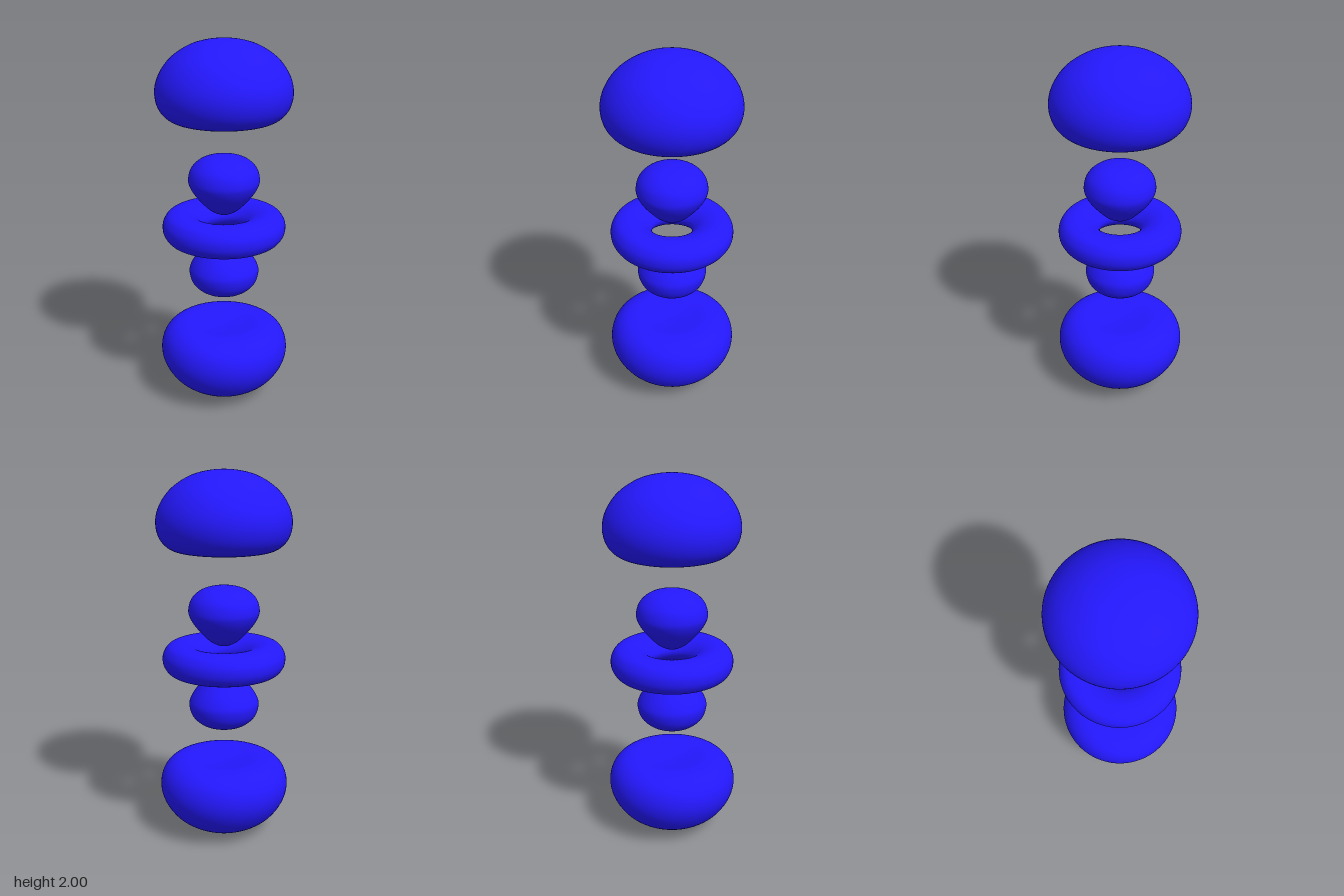
import * as THREE from 'three';

const CENTRE = 1.002;
const material = new THREE.MeshStandardMaterial({ color: 0x2418ff });

// Smooth profile from pole to pole; mirrored end points keep the poles round.
function lobeGeometry(profile) {
  const pts = profile.map(([r, y]) => new THREE.Vector2(r, y));
  const n = pts.length;
  const mirror = (p) => new THREE.Vector2(-p.x, p.y);
  const curve = new THREE.SplineCurve([mirror(pts[1]), ...pts, mirror(pts[n - 2])]);
  const steps = 48;
  const samples = [];
  for (let i = 0; i <= steps; i++) {
    const p = curve.getPoint((1 + (n - 1) * i / steps) / (n + 1));
    p.x = i === 0 || i === steps ? 0 : Math.max(p.x, 0);
    samples.push(p);
  }
  return new THREE.LatheGeometry(samples, 72);
}

// Closed cross-section swept around the axis.
function ringGeometry(section) {
  const curve = new THREE.CatmullRomCurve3(
    section.map(([r, y]) => new THREE.Vector3(r, y, 0)), true, 'catmullrom', 0.5);
  const samples = curve.getPoints(64).map((p) => new THREE.Vector2(p.x, p.y));
  return new THREE.LatheGeometry(samples, 72);
}

export function createModel() {
  const group = new THREE.Group();

  const add = (name, geometry, flipped = false) => {
    const mesh = new THREE.Mesh(geometry, material);
    mesh.name = name;
    mesh.position.y = CENTRE;
    if (flipped) mesh.rotation.x = Math.PI;
    group.add(mesh);
  };

  // Large domed caps with a shallow dimple facing the middle
  const cap = lobeGeometry([
    [0, 0.597], [0.1, 0.59], [0.2, 0.579], [0.28, 0.593], [0.335, 0.645], [0.356, 0.725],
    [0.338, 0.81], [0.28, 0.895], [0.19, 0.958], [0.1, 0.988], [0, 0.998],
  ]);
  add('upperCap', cap);
  add('lowerCap', cap, true);

  // Small drops narrowing towards the middle
  const drop = lobeGeometry([
    [0, 0.068], [0.04, 0.076], [0.09, 0.108], [0.15, 0.174], [0.182, 0.225], [0.191, 0.267],
    [0.175, 0.323], [0.13, 0.367], [0.07, 0.389], [0, 0.396],
  ]);
  add('upperDrop', drop);
  add('lowerDrop', drop, true);

  // Ring around the waist, fuller on its outer side
  add('ring', ringGeometry([
    [0.11, 0], [0.125, -0.034], [0.17, -0.069], [0.235, -0.085], [0.295, -0.073], [0.325, -0.038],
    [0.333, 0], [0.325, 0.038], [0.295, 0.073], [0.235, 0.085], [0.17, 0.069], [0.125, 0.034],
  ]));

  return group;
}
